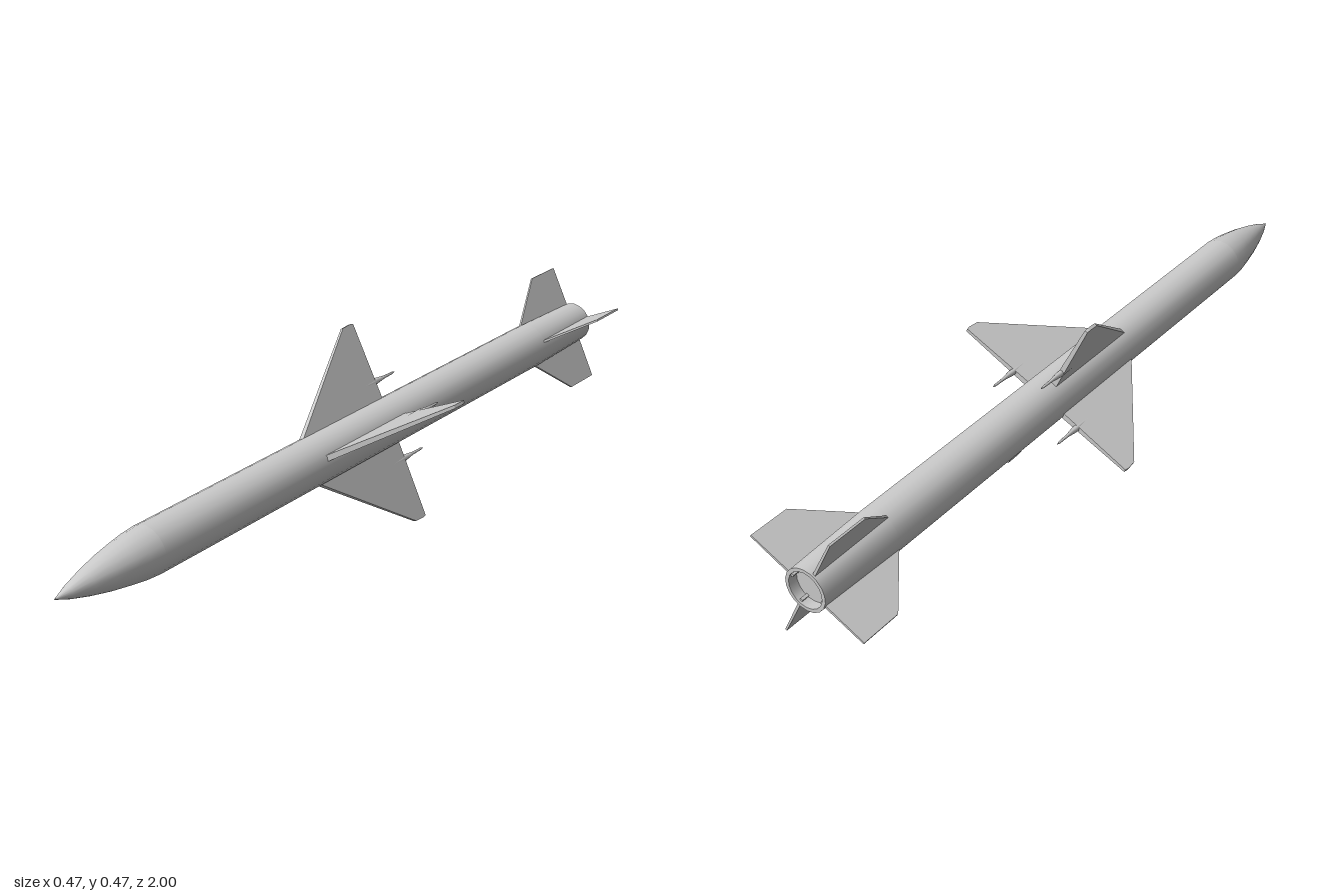
import * as THREE from 'three';

const material = new THREE.MeshStandardMaterial({ color: 0xcccccc });

// Lathe around the long axis; profile points are [radius, z] running tail to nose
function turned(name, profile, sides) {
  const geometry = new THREE.LatheGeometry(profile.map(([r, z]) => new THREE.Vector2(r, z)), sides);
  geometry.rotateX(Math.PI / 2);
  const mesh = new THREE.Mesh(geometry, material);
  mesh.name = name;
  return mesh;
}

// Flat fin: outline points are [distance from axis, z], thickness tapers from root to tip
function fin(name, outline, rootThickness, tipThickness) {
  const shape = new THREE.Shape(outline.map(([r, z]) => new THREE.Vector2(r, z)));
  const geometry = new THREE.ExtrudeGeometry(shape, { depth: 1, bevelEnabled: false });
  geometry.translate(0, 0, -0.5);
  const p = geometry.attributes.position;
  const root = outline[0][0], tip = Math.max(...outline.map(([r]) => r));
  for (let i = 0; i < p.count; i++) {
    const t = (p.getX(i) - root) / (tip - root);
    p.setZ(i, p.getZ(i) * THREE.MathUtils.lerp(rootThickness, tipThickness, t));
  }
  geometry.rotateX(Math.PI / 2);
  geometry.computeVertexNormals();
  const mesh = new THREE.Mesh(geometry, material);
  mesh.name = name;
  return mesh;
}

export function createModel() {
  const model = new THREE.Group();
  model.name = 'missile';

  // Pointed nose, straight tube and slightly narrowed tail; separate pieces keep the edges crisp
  const sides = 18;
  model.add(turned('noseCone', [
    [0.061, 0.73], [0.058, 0.77], [0.052, 0.81], [0.043, 0.86],
    [0.031, 0.91], [0.016, 0.96], [0, 1],
  ], sides));
  model.add(turned('bodyTube', [[0.061, -0.76], [0.061, 0.73]], sides));
  model.add(turned('tailSection', [[0.055, -0.995], [0.061, -0.76]], sides));

  // Exhaust rim with a shallow recessed plate
  model.add(turned('exhaustRim', [[0.046, -0.995], [0.055, -0.995]], sides));
  model.add(turned('exhaustWall', [[0.046, -0.97], [0.046, -0.995]], sides));
  model.add(turned('exhaustPlate', [[0, -0.97], [0.046, -0.97]], sides));

  // Four identical quarters of wing, wing pod and tail fin
  for (let i = 0; i < 4; i++) {
    const quarter = new THREE.Group();
    quarter.name = 'finSet' + (i + 1);
    quarter.add(fin('wing',
      [[0.04, -0.125], [0.262, -0.125], [0.264, -0.115], [0.262, -0.085], [0.057, 0.185], [0.04, 0.19]],
      0.016, 0.008));
    quarter.add(fin('tailFin',
      [[0.04, -0.99], [0.166, -0.99], [0.166, -0.88], [0.059, -0.755], [0.04, -0.75]],
      0.007, 0.005));
    const pod = turned('wingPod', [
      [0, -0.21], [0.003, -0.2], [0.004, -0.165], [0.008, -0.135],
      [0.008, -0.115], [0.006, -0.05], [0.004, 0], [0, 0.01],
    ], 8);
    pod.position.x = 0.105;
    quarter.add(pod);
    quarter.rotation.z = THREE.MathUtils.degToRad(27.2 + 90 * i);
    model.add(quarter);
  }

  // Slight yaw of the whole body
  model.rotation.y = -0.0125;
  model.position.set(-0.003, 0.237, 0);
  return model;
}
